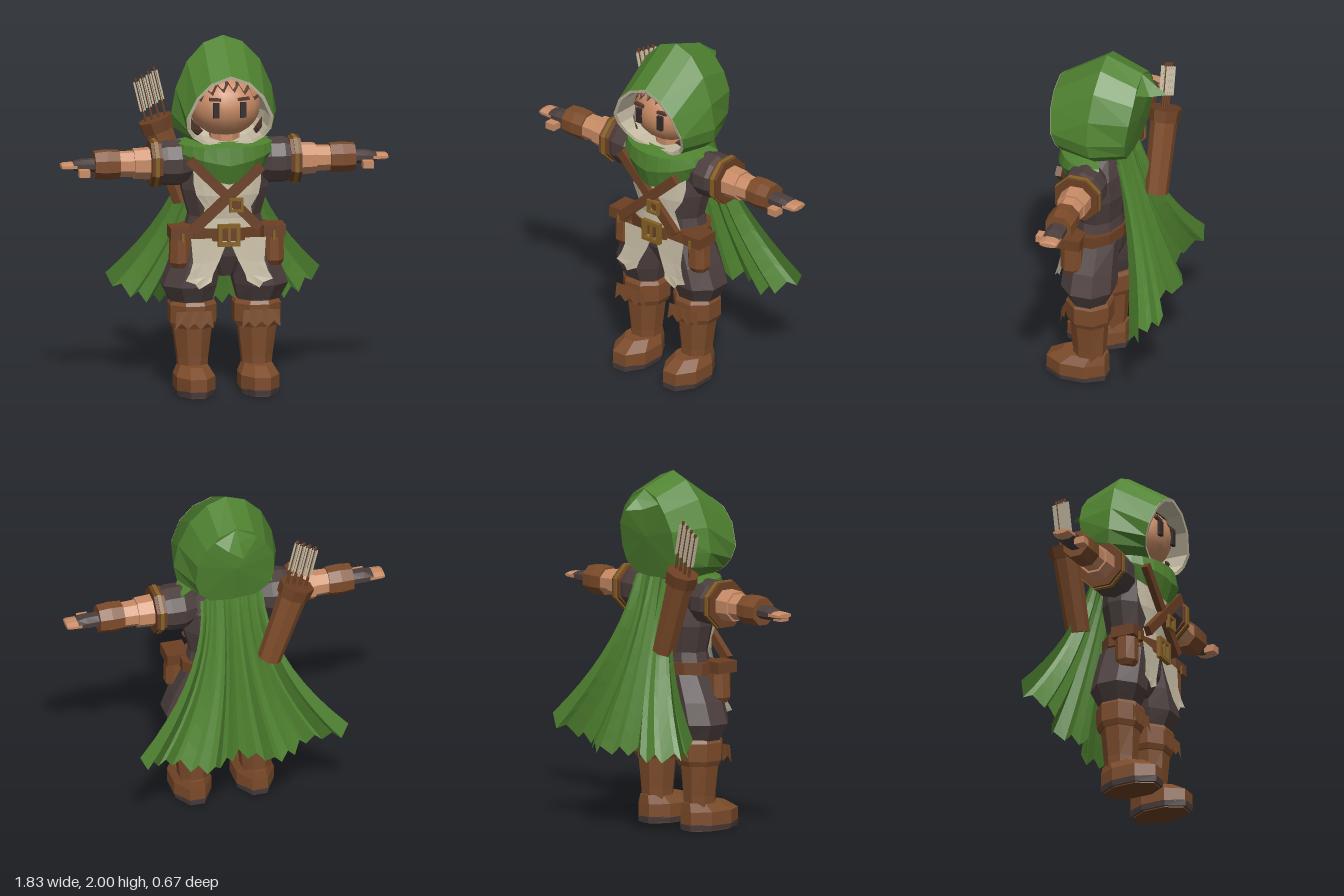
import * as THREE from 'three';

const mat = (name, color, side = THREE.FrontSide) =>
  Object.assign(new THREE.MeshStandardMaterial({ color, side }), { name });
const D = THREE.DoubleSide;
const green = mat('cloak green', 0x4f8230, D), cream = mat('linen cream', 0xc6bca4, D);
const leather = mat('leather brown', 0x7c4b2a, D), strapMat = mat('strap brown', 0x6c4024);
const cloth = mat('dark cloth', 0x4b3e3d), skin = mat('skin', 0xc98c66);
const brass = mat('brass', 0x866225), hairMat = mat('hair brown', 0x55392f, D), black = mat('eye dark', 0x332b2b);

const add = (parent, name, geo, m, x = 0, y = 0, z = 0) => {
  const mesh = new THREE.Mesh(geo, m);
  mesh.name = name;
  mesh.position.set(x, y, z);
  parent.add(mesh);
  return mesh;
};
const box = (w, h, d) => new THREE.BoxGeometry(w, h, d);
const faceted = (pos) => {
  const g = new THREE.BufferGeometry();
  g.setAttribute('position', new THREE.Float32BufferAttribute(pos, 3));
  g.computeVertexNormals();
  return g;
};

// Closed faceted solid from rings [y, centreX, centreZ, radiusX, radiusZ]
function stack(rings, n = 8) {
  const k = 1 / Math.cos(Math.PI / n), pos = [];
  const p = ([y, cx, cz, rx, rz], i) => {
    const a = (i + 0.5) * 2 * Math.PI / n;
    return [cx + rx * k * Math.sin(a), y, cz + rz * k * Math.cos(a)];
  };
  const lo = rings[0], hi = rings[rings.length - 1];
  for (let i = 0; i < n; i++) {
    for (let j = 0; j < rings.length - 1; j++) {
      const a = p(rings[j], i), b = p(rings[j], i + 1), c = p(rings[j + 1], i + 1), d = p(rings[j + 1], i);
      pos.push(...a, ...b, ...c, ...a, ...c, ...d);
    }
    pos.push(lo[1], lo[0], lo[2], ...p(lo, i + 1), ...p(lo, i));
    pos.push(hi[1], hi[0], hi[2], ...p(hi, i), ...p(hi, i + 1));
  }
  return faceted(pos);
}

// Open sheet joining rows of points
function sheet(rows) {
  const pos = [];
  for (let j = 0; j < rows.length - 1; j++)
    for (let i = 0; i < rows[j].length - 1; i++) {
      const a = rows[j][i], b = rows[j][i + 1], c = rows[j + 1][i + 1], d = rows[j + 1][i];
      pos.push(...a, ...d, ...c, ...a, ...c, ...b);
    }
  return faceted(pos);
}
const range = (n, f) => Array.from({ length: n }, (_, i) => f(i));
const ringOf = (half) => [...half, ...half.slice(0, -1).reverse().map(([x, y, z]) => [-x, y, z])];

// Rectangular buckle frame
function frame(w, h, t, d) {
  const rect = (S, a, b) => new S([[-a, -b], [a, -b], [a, b], [-a, b]].map(q => new THREE.Vector2(...q)));
  const s = rect(THREE.Shape, w / 2, h / 2);
  s.holes.push(rect(THREE.Path, w / 2 - t, h / 2 - t));
  return new THREE.ExtrudeGeometry(s, { depth: d, bevelEnabled: false });
}

function buildHead(g) {
  add(g, 'head', new THREE.SphereGeometry(1, 18, 12).scale(0.2, 0.175, 0.19), skin, 0, 1.62, 0.1);
  add(g, 'neck', stack([[1.36, 0, 0.1, 0.08, 0.08], [1.5, 0, 0.1, 0.08, 0.08]]), skin);
  const onHead = (x, y) => [x, y, 0.1 + 0.2 * Math.sqrt(Math.max(0, 1 - (x / 0.2) ** 2 - ((y - 1.62) / 0.175) ** 2)) + 0.006];
  // Jagged fringe
  const arc = x => 1.62 + 0.172 * Math.sqrt(1 - (x / 0.205) ** 2);
  const xs = range(13, i => (i - 6) * 0.03);
  add(g, 'fringe', sheet([0, 1].map(r => xs.map((x, i) => onHead(x, arc(x) - r * (i % 2 ? 0.075 : 0.035))))), hairMat);
  for (const s of [-1, 1]) {
    add(g, 'eye', box(0.034, 0.085, 0.02), black, s * 0.075, 1.62, 0.28);
    add(g, 'brow', box(0.066, 0.016, 0.02), hairMat, s * 0.08, 1.68, 0.268).rotation.z = s * 0.08;
    add(g, 'sideburn', sheet([[[s * 0.2, 1.56, 0.17], [s * 0.185, 1.54, 0.2]], [[s * 0.2, 1.5, 0.17], [s * 0.14, 1.5, 0.23]],
      [[s * 0.17, 1.46, 0.17], [s * 0.16, 1.47, 0.2]]]), hairMat);
  }

  // Hood: opening, widest ring, back ring and back panel
  const open = [[0, 1.82, 0.32], [0.11, 1.78, 0.32], [0.19, 1.7, 0.315], [0.245, 1.58, 0.295], [0.235, 1.51, 0.27], [0.2, 1.46, 0.25], [0.14, 1.425, 0.24], [0, 1.405, 0.23]];
  const mid = [[0, 2, 0.05], [0.11, 1.96, 0.05], [0.205, 1.86, 0.06], [0.27, 1.71, 0.07], [0.295, 1.57, 0.07], [0.28, 1.49, 0.06], [0.2, 1.42, 0.05], [0, 1.42, 0.03]];
  const back = [[0, 1.92, -0.16], [0.1, 1.88, -0.16], [0.17, 1.8, -0.16], [0.22, 1.7, -0.15], [0.225, 1.57, -0.13], [0.2, 1.49, -0.12], [0.13, 1.43, -0.11], [0, 1.42, -0.11]];
  add(g, 'hood', sheet([open, mid, back, back.map(() => [0, 1.65, -0.155])].map(ringOf)), green);
  const inset = (k, dz) => open.map(([x, y, z]) => [x * k, 1.6 + (y - 1.6) * k, z + dz]);
  add(g, 'hoodLining', sheet([inset(1, 0.003), inset(0.92, 0), inset(0.9, -0.16), inset(0.75, -0.25)].map(ringOf)), cream);
  add(g, 'hoodPoint', sheet([[[-0.13, 1.85, -0.15], [0, 1.925, -0.15], [0.13, 1.85, -0.15]],
    [[-0.06, 1.815, -0.22], [0, 1.87, -0.22], [0.06, 1.815, -0.22]], range(3, () => [0, 1.81, -0.3])]), green);
}

function buildTorso(g) {
  add(g, 'torso', stack([[0.66, 0, 0.08, 0.07, 0.08], [0.78, 0, 0.08, 0.2, 0.13], [0.92, 0, 0.08, 0.22, 0.14], [1, 0, 0.08, 0.2, 0.13],
    [1.15, 0, 0.08, 0.24, 0.15], [1.28, 0, 0.08, 0.24, 0.14], [1.4, 0, 0.08, 0.14, 0.1]], 12), cloth);
  // Tunic panel: rows of [y, half width, body radii]
  add(g, 'tunicFront', sheet([[1.3, 0.19, 0.25, 0.145], [1.2, 0.19, 0.25, 0.152], [1.13, 0.175, 0.25, 0.156], [1.06, 0.13, 0.23, 0.15], [1, 0.14, 0.22, 0.145], [0.92, 0.17, 0.24, 0.152]]
    .map(([y, w, rx, rz]) => range(9, i => {
      const x = w * (i - 4) / 4;
      return [x, y, 0.084 + rz * 1.06 * Math.sqrt(1 - (x / rx / 1.06) ** 2)];
    }))), cream);
  // Scarf draped to a point on the chest
  const ang = range(15, i => (i - 7) / 7);
  const scarfRow = (rx, rz, y) => ang.map(u => [rx * Math.sin(u * 1.9), y(Math.abs(u)), 0.08 + rz * Math.cos(u * 1.9)]);
  add(g, 'scarf', sheet([scarfRow(0.2, 0.14, () => 1.43), scarfRow(0.27, 0.22, () => 1.41),
    scarfRow(0.28, 0.235, u => 1.31 + 0.09 * u), scarfRow(0.25, 0.2, u => 1.2 + 0.2 * u ** 1.4)]), green);

  // Crossed chest straps
  for (const [ax, ay, bx, by, z] of [[-0.22, 1.34, 0.17, 0.95, 0.262], [0.18, 1.3, -0.21, 0.94, 0.27]]) {
    const m = add(g, 'chestStrap', box(Math.hypot(bx - ax, by - ay), 0.055, 0.035), strapMat, (ax + bx) / 2, (ay + by) / 2, z);
    m.rotation.z = Math.atan2(by - ay, bx - ax);
  }
  add(g, 'chestBuckle', frame(0.08, 0.08, 0.014, 0.02), brass, 0.035, 1.085, 0.28);

  // Belt, buckle and pouches
  add(g, 'belt', stack([[0.875, 0, 0.09, 0.25, 0.16], [0.945, 0, 0.09, 0.25, 0.16]], 12), strapMat);
  add(g, 'beltBuckle', frame(0.125, 0.125, 0.022, 0.025), brass, 0, 0.91, 0.25);
  add(g, 'buckleTongue', box(0.015, 0.09, 0.012), brass, 0, 0.91, 0.268);
  for (const s of [-1, 1]) {
    add(g, 'pouch', stack([[0.72, s * 0.26, 0.165, 0.045, 0.04], [0.75, s * 0.26, 0.165, 0.06, 0.06], [0.9, s * 0.26, 0.165, 0.055, 0.06]]), leather);
    add(g, 'pouchFlap', box(0.125, 0.065, 0.14), strapMat, s * 0.26, 0.92, 0.17);
    add(g, 'pouchClasp', box(0.015, 0.05, 0.01), brass, s * 0.255, 0.9, 0.242);
    // Torn tunic skirt
    const row = (z, pts) => pts.map(([x, y]) => [s * x, y, z]);
    add(g, 'tunicSkirt', sheet([row(0.24, [[0, 0.89], [0.07, 0.89], [0.14, 0.89], [0.21, 0.89]]),
      row(0.252, [[0.05, 0.77], [0.1, 0.76], [0.15, 0.75], [0.2, 0.76]]),
      row(0.262, [[0.09, 0.69], [0.13, 0.68], [0.18, 0.67], [0.22, 0.7]]),
      row(0.27, [[0.1, 0.65], [0.17, 0.61], [0.19, 0.64], [0.245, 0.66]])]), cream);
  }
}

function buildLeg(g, s) {
  add(g, 'trouserLeg', stack([[0.48, s * 0.185, 0.085, 0.1, 0.09], [0.53, s * 0.19, 0.085, 0.12, 0.11], [0.61, s * 0.2, 0.085, 0.15, 0.145],
    [0.73, s * 0.165, 0.085, 0.14, 0.14], [0.88, s * 0.12, 0.08, 0.11, 0.13]]), cloth);
  add(g, 'bootCuff', stack([[0.37, s * 0.18, 0.085, 0.115, 0.11], [0.4, s * 0.18, 0.085, 0.128, 0.122], [0.5, s * 0.18, 0.085, 0.13, 0.125], [0.52, s * 0.18, 0.085, 0.12, 0.115]]), leather);
  add(g, 'bootShaft', stack([[0.13, s * 0.18, 0.09, 0.08, 0.085], [0.2, s * 0.18, 0.088, 0.085, 0.088], [0.38, s * 0.182, 0.088, 0.108, 0.1]]), leather);
  add(g, 'bootFoot', stack([[0.035, s * 0.18, 0.157, 0.108, 0.17], [0.11, s * 0.18, 0.157, 0.108, 0.17], [0.16, s * 0.18, 0.115, 0.08, 0.125]]), leather);
  add(g, 'sole', stack([[0.006, s * 0.18, 0.157, 0.1, 0.17], [0.04, s * 0.18, 0.157, 0.106, 0.175]]), cloth);
  add(g, 'soleInset', stack([[0, s * 0.18, 0.157, 0.088, 0.155], [0.008, s * 0.18, 0.157, 0.088, 0.155]]), strapMat);
  // Torn flap on the cuff
  add(g, 'cuffFlap', sheet([range(7, i => [s * (0.09 + i * 0.033), 0.475, 0.217]),
    range(7, i => [s * (0.08 + i * 0.036), i % 2 ? 0.41 : 0.375, 0.222])]), leather);
}

function buildArm(g, s) {
  const part = (name, m, rings, n) =>
    add(g, name, stack(rings.map(([t, ry, rz = ry]) => [t, 0, 0, ry, rz]), n).rotateZ(-s * Math.PI / 2), m, 0, 1.295, 0.085);
  part('shoulder', cloth, [[0.18, 0.09], [0.25, 0.122], [0.33, 0.122], [0.4, 0.1]], 10);
  part('armBand', strapMat, [[0.36, 0.12], [0.42, 0.125]]);
  part('armBandTrim', brass, [[0.38, 0.13], [0.402, 0.13]]);
  part('upperForearm', skin, [[0.41, 0.085], [0.51, 0.08]]);
  part('lowerForearm', skin, [[0.5, 0.07], [0.61, 0.066]]);
  part('bracer', leather, [[0.59, 0.076], [0.66, 0.08], [0.73, 0.074]]);
  part('glove', cloth, [[0.72, 0.036, 0.05], [0.8, 0.034, 0.052], [0.85, 0.022, 0.05]]);
  part('fingers', skin, [[0.83, 0.02, 0.052], [0.9, 0.018, 0.05], [0.915, 0.012, 0.045]]);
  add(g, 'thumb', box(0.06, 0.04, 0.06), skin, s * 0.795, 1.265, 0.155);
}

function buildCape(g) {
  // Flaring folds with a ragged hem
  const n = 28;
  add(g, 'cape', sheet(range(10, j => {
    const t = j / 9;
    return range(n + 1, i => {
      const u = i / n * 2 - 1, hem = 0.47 + 0.13 * u ** 4 - (i % 2 ? 0.05 : 0);
      const fold = 0.055 * Math.cos(u * 3 * Math.PI) + 0.014 * Math.cos(u * 10 * Math.PI);
      return [u * (0.18 + 0.42 * t * t), 1.41 - t * (1.41 - hem), -0.06 - 0.215 * t + fold * (0.2 + 0.8 * t)];
    });
  })), green);
}

function buildQuiver(parent) {
  const g = new THREE.Group();
  g.name = 'quiver';
  g.position.set(-0.185, 1.03, -0.175);
  g.rotation.z = 0.335;
  parent.add(g);
  add(g, 'quiverBody', stack([[0, 0, 0, 0.062, 0.062], [0.43, 0, 0, 0.075, 0.07]]), leather);
  add(g, 'quiverRim', stack([[0.42, 0, 0, 0.088, 0.08], [0.49, 0, 0, 0.092, 0.085]]), strapMat);
  const arrows = new THREE.Group();
  arrows.name = 'arrows';
  arrows.position.y = 0.45;
  arrows.rotation.z = -0.1;
  g.add(arrows);
  for (let i = 0; i < 4; i++) {
    const x = (i - 1.5) * 0.038, y = (i - 1.5) * 0.012;
    add(arrows, 'arrowShaft', new THREE.CylinderGeometry(0.008, 0.008, 0.32, 6), strapMat, x, 0.145 + y, 0);
    add(arrows, 'fletching', box(0.034, 0.17, 0.004), cream, x, 0.2 + y, 0);
    add(arrows, 'fletching', box(0.004, 0.17, 0.05), cream, x, 0.2 + y, 0);
  }
}

export function createModel() {
  const g = new THREE.Group();
  g.name = 'hoodedArcher';
  buildHead(g);
  buildTorso(g);
  for (const s of [-1, 1]) {
    buildLeg(g, s);
    buildArm(g, s);
  }
  buildCape(g);
  buildQuiver(g);
  return g;
}
